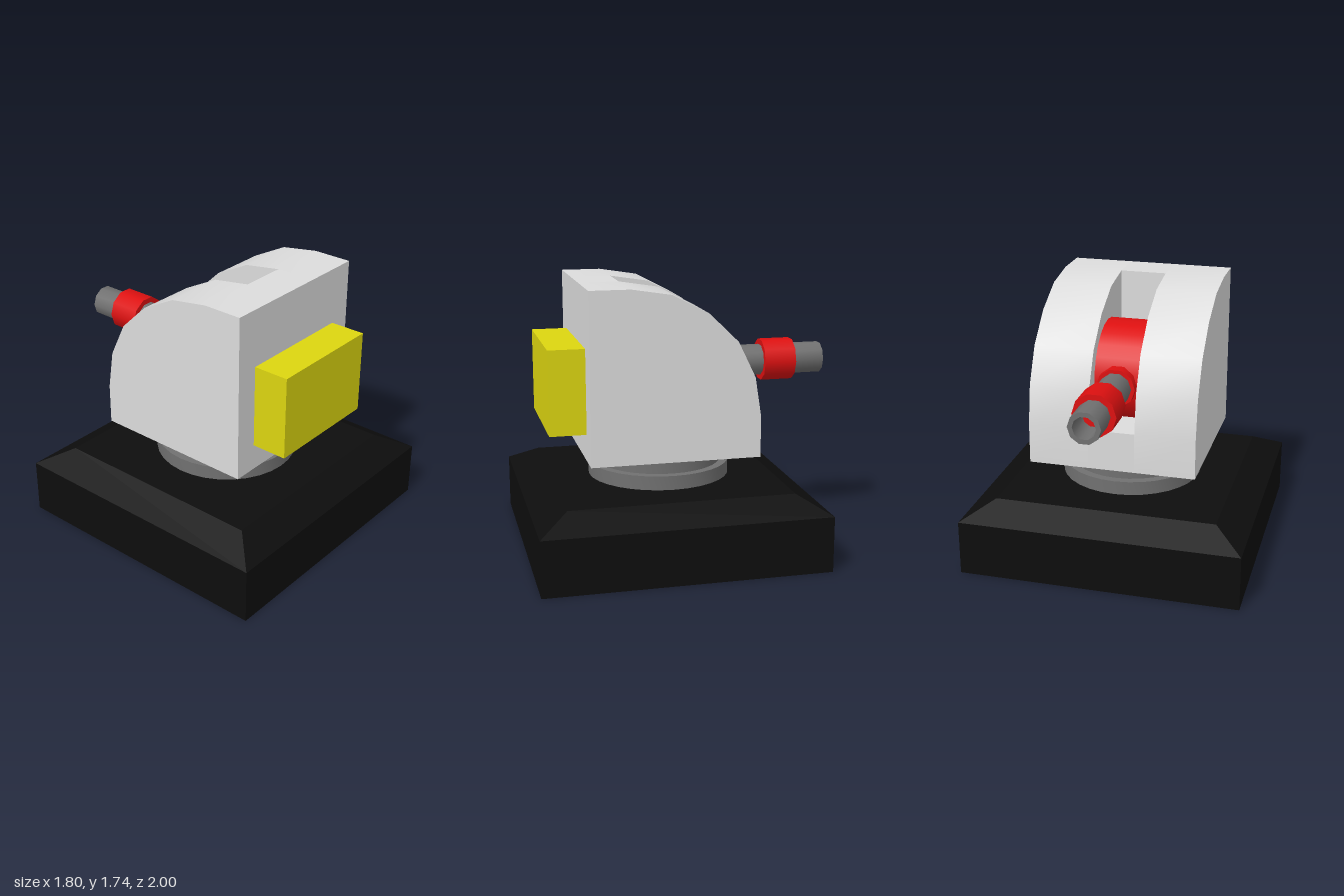
import * as THREE from 'three';
import { toCreasedNormals } from 'three/addons/utils/BufferGeometryUtils.js';

const material = (name, color, extra = {}) =>
  Object.assign(new THREE.MeshStandardMaterial({ color, ...extra }), { name });

export function createModel() {
  const model = new THREE.Group();
  model.name = 'turret';

  const black = material('black', 0x0d0d0d, { side: THREE.DoubleSide });
  const grey = material('mid grey', 0x707070, { side: THREE.DoubleSide });
  const shell = material('light grey', 0xdcdcdc);
  const red = material('red', 0xdd1010);
  const yellow = material('yellow', 0xdcd510);

  const add = (name, geometry, mat, x = 0, y = 0, z = 0) => {
    const mesh = new THREE.Mesh(geometry, mat);
    mesh.name = name;
    mesh.position.set(x, y, z);
    model.add(mesh);
    return mesh;
  };
  const points = (list) => list.map(([x, y]) => new THREE.Vector2(x, y));

  // Square base: a chamfered shell, open underneath
  const s = Math.SQRT2;
  const baseProfile = points([[0.9 * s, 0], [0.9 * s, 0.355], [0.71 * s, 0.46], [0, 0.46]]);
  const base = new THREE.LatheGeometry(baseProfile, 4, Math.PI / 4).toNonIndexed();
  base.computeVertexNormals();
  add('base', base, black, 0, 0, 0.1);

  // Stepped turntable; its lower rim just breaks through the base
  const collarProfile = points([
    [0.46, 0.452], [0.46, 0.55], [0.407, 0.55], [0.407, 0.665],
  ]);
  add('turntable', toCreasedNormals(new THREE.LatheGeometry(collarProfile, 32), 0.8), grey, 0, 0, 0.1);

  // Head: side profile in (z, y), two cheeks and a cut-away middle forming the slot
  const arc = [
    [0.38, 1.735], [0.13, 1.695], [-0.1, 1.575], [-0.285, 1.395], [-0.395, 1.17], [-0.435, 0.92],
  ];
  const cheekProfile = [[0.635, 0.66], [0.635, 1.735], ...arc, [-0.435, 0.66]];
  const slotProfile = [
    [0.635, 0.66], [0.635, 1.735], [0.38, 1.735], [0.38, 0.92], [-0.435, 0.92], [-0.435, 0.66],
  ];
  const slab = (profile, width) => {
    const shape = new THREE.Shape(points(profile.map(([z, y]) => [-z, y])));
    const g = new THREE.ExtrudeGeometry(shape, { depth: width, bevelEnabled: false });
    g.translate(0, 0, -width / 2).rotateY(Math.PI / 2);
    return toCreasedNormals(g, 0.5);
  };
  for (const side of [1, -1]) {
    add(side > 0 ? 'leftCheek' : 'rightCheek', slab(cheekProfile, 0.387), shell, side * 0.3435);
  }
  add('headCentre', slab(slotProfile, 0.3), shell);

  // Front box
  add('frontBox', new THREE.BoxGeometry(0.775, 0.535, 0.23), yellow, 0, 1.0975, 0.75);

  // Elevation wheel in the slot
  const wheel = new THREE.CylinderGeometry(0.328, 0.328, 0.298, 24).rotateZ(Math.PI / 2);
  add('elevationWheel', wheel, red, 0, 1.172, 0.048);

  // Hollow barrel and its bands, lying along -z
  const alongBarrel = (g) => g.rotateY(Math.PI / 2).rotateX(-Math.PI / 2);
  const barrelProfile = points([[0.102, 0.2], [0.102, 1], [0.072, 1], [0.072, 0.75], [0, 0.75]]);
  const barrel = toCreasedNormals(new THREE.LatheGeometry(barrelProfile, 10), 0.8);
  add('barrel', alongBarrel(barrel), grey, 0, 1.172, 0);
  const band = (name, radius, from, to) =>
    add(name, alongBarrel(new THREE.CylinderGeometry(radius, radius, to - from, 10)), red,
      0, 1.172, -(from + to) / 2);
  band('barrelCollar', 0.126, 0.2, 0.33);
  band('muzzleBand', 0.138, 0.59, 0.8);

  return model;
}
